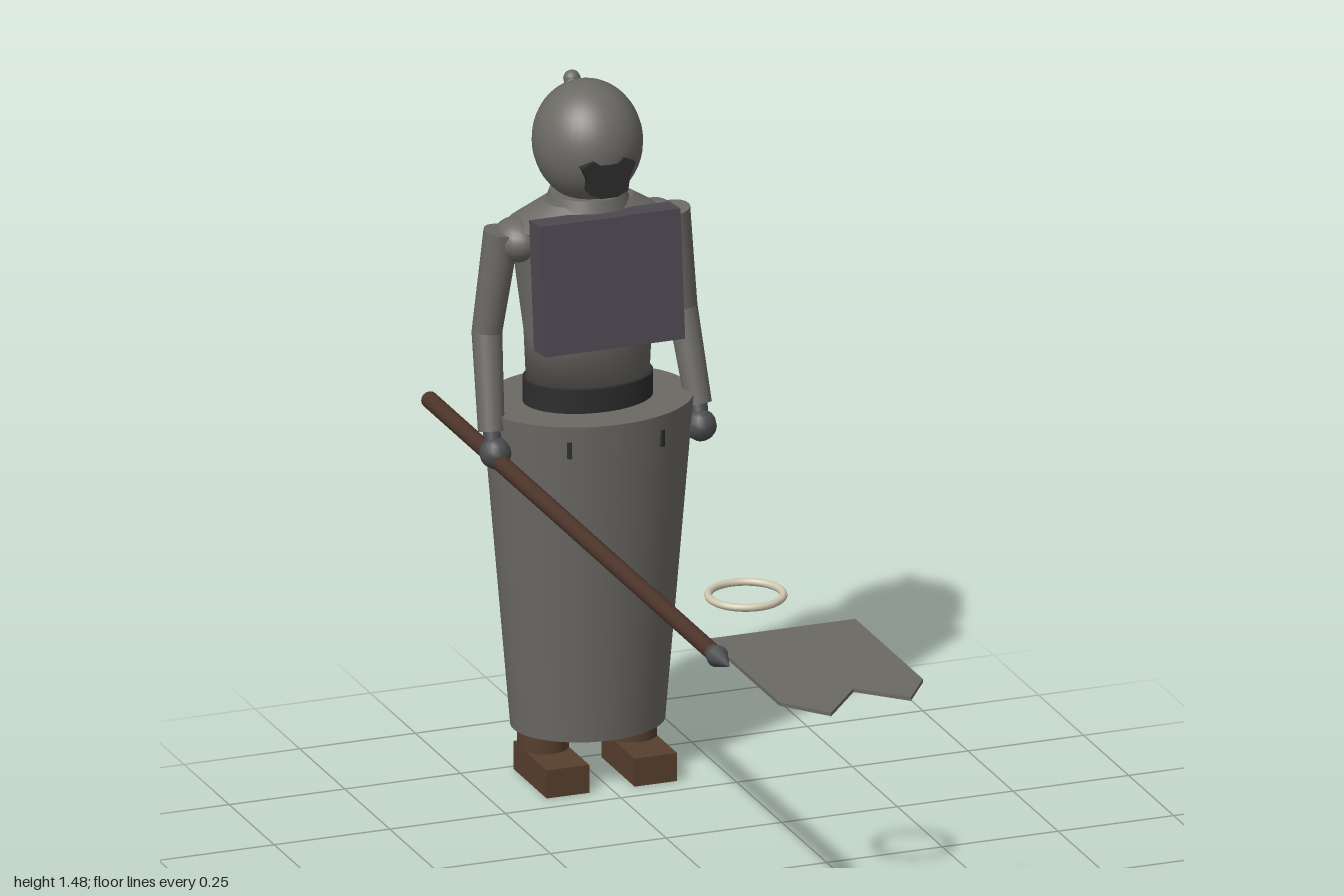
import * as THREE from 'three';

const mat = (name, color) => Object.assign(new THREE.MeshStandardMaterial({ color }), { name });

export function createModel() {
  const root = new THREE.Group();
  root.name = 'standardBearer';
  const cloth = mat('greyCloth', 0x6b6964);
  const dark = mat('darkLeather', 0x2e2d2d);
  const plate = mat('chestPlate', 0x4c4a51);
  const brown = mat('brownBoots', 0x573f2e);
  const wood = mat('poleWood', 0x4c342a);
  const iron = mat('iron', 0x4b4c4e);
  const cream = mat('creamRing', 0xcfc8b0);
  const CZ = -0.685; // the figure stands at this depth

  const add = (name, geo, material, x = 0, y = 0, z = 0, parent = root) => {
    const m = new THREE.Mesh(geo, material);
    m.name = name;
    m.position.set(x, y, z);
    parent.add(m);
    return m;
  };
  // tapered cylinder between two points
  const limb = (name, a, b, ra, rb, material, sides = 20) => {
    const va = new THREE.Vector3(...a), vb = new THREE.Vector3(...b);
    const dir = vb.clone().sub(va);
    const m = add(name, new THREE.CylinderGeometry(rb, ra, dir.length(), sides), material);
    m.position.copy(va).add(vb).multiplyScalar(0.5);
    m.quaternion.setFromUnitVectors(new THREE.Vector3(0, 1, 0), dir.normalize());
    return m;
  };

  // Long skirt, oval in plan
  const skirt = add('skirt', new THREE.CylinderGeometry(0.219, 0.16, 0.695, 48), cloth, 0, 0.4525, CZ);
  skirt.scale.z = 0.82;
  // Small slits below the rim
  for (const sx of [-1, 1]) for (const sz of [-1, 1]) {
    add('skirtSlit', new THREE.BoxGeometry(0.009, 0.035, 0.008), dark, sx * 0.1, 0.75, CZ + sz * 0.157)
      .rotation.y = sx * sz * 0.55;
  }

  // Belt, torso with sloping shoulders, neck
  add('belt', new THREE.CylinderGeometry(0.136, 0.136, 0.055, 40), dark, 0, 0.823, CZ).scale.z = 0.74;
  const torsoProfile = [[0, 0.84], [0.129, 0.84], [0.134, 0.95], [0.15, 1.07], [0.162, 1.185]]
    .map(p => new THREE.Vector2(...p));
  add('torso', new THREE.LatheGeometry(torsoProfile, 40), cloth, 0, 0, CZ).scale.z = 0.71;
  add('shoulders', new THREE.CylinderGeometry(0.095, 0.168, 0.045, 40), cloth, 0, 1.207, CZ).scale.z = 0.72;
  add('collar', new THREE.CylinderGeometry(0.078, 0.09, 0.035, 32), cloth, 0, 1.228, CZ);

  // Head with a small top knot at the back
  add('head', new THREE.SphereGeometry(1, 36, 24), cloth, 0, 1.35, CZ - 0.002).scale.set(0.111, 0.125, 0.122);
  limb('topKnot', [0, 1.4, -0.745], [0, 1.452, -0.773], 0.027, 0.016, cloth);
  add('topKnotTip', new THREE.SphereGeometry(0.0175, 16, 12), cloth, 0, 1.452, -0.773);

  // Dark mouth cover
  const half = [[0.018, 1.337], [0.033, 1.348], [0.058, 1.335], [0.045, 1.307], [0.041, 1.277], [0.018, 1.266]];
  const maskPts = [...half, ...half.map(([x, y]) => [-x, y]).reverse()].map(p => new THREE.Vector2(...p));
  add('mouthCover', new THREE.ExtrudeGeometry(new THREE.Shape(maskPts), { depth: 0.032, bevelEnabled: false }),
    dark, 0, 0, -0.597);

  // Tilted plate worn on the chest
  add('chestPlate', new THREE.BoxGeometry(0.303, 0.272, 0.062), plate, 0, 1.087, -0.577).rotation.x = -0.1;

  // Arms, hands, legs and boots
  for (const s of [-1, 1]) {
    add('shoulder', new THREE.SphereGeometry(1, 20, 14), cloth, s * 0.15, 1.155, -0.69).scale.set(0.05, 0.045, 0.06);
    limb('upperArm', [s * 0.211, 0.96, -0.703], [s * 0.184, 1.178, -0.69], 0.031, 0.037, cloth);
    add('elbow', new THREE.SphereGeometry(0.031, 20, 14), cloth, s * 0.211, 0.96, -0.703);
    limb('forearm', [s * 0.224, 0.768, -0.645], [s * 0.211, 0.96, -0.703], 0.027, 0.031, cloth);
    limb('wrist', [s * 0.223, 0.74, -0.634], [s * 0.224, 0.77, -0.645], 0.018, 0.018, iron, 12);
    add('hand', new THREE.SphereGeometry(0.033, 12, 8), iron, s * 0.222, 0.727, -0.628);
    add('bootShaft', new THREE.CylinderGeometry(0.053, 0.053, 0.1, 24), brown, s * 0.095, 0.108, CZ - 0.004);
    add('boot', new THREE.BoxGeometry(0.092, 0.06, 0.185), brown, s * 0.095, 0.03, -0.643);
  }

  // Banner pole lying level, with an iron point
  const px = -0.22, py = 0.713;
  limb('pole', [px, py, -1], [px, py, 0.59], 0.0175, 0.0175, wood, 16);
  limb('poleSocket', [px, py, 0.575], [px, py, 0.6], 0.0175, 0.023, iron, 16);
  limb('polePoint', [px, py, 0.6], [px, py, 0.665], 0.023, 0.001, iron, 16);

  // Swallow-tailed flag
  const flagPts = [[-0.205, 0.51], [0.113, 0.51], [0.113, 0.885], [0.052, 0.975], [-0.037, 0.885],
    [-0.13, 1], [-0.205, 0.905]].map(p => new THREE.Vector2(...p));
  const flag = new THREE.ExtrudeGeometry(new THREE.Shape(flagPts), { depth: 0.008, bevelEnabled: false });
  flag.rotateX(Math.PI / 2);
  add('flag', flag, cloth, 0, 0.718, 0);

  // Loose ring beside the pole
  add('ring', new THREE.TorusGeometry(0.076, 0.008, 10, 40).rotateX(Math.PI / 2), cream, -0.047, 0.723, 0.313);

  return root;
}
